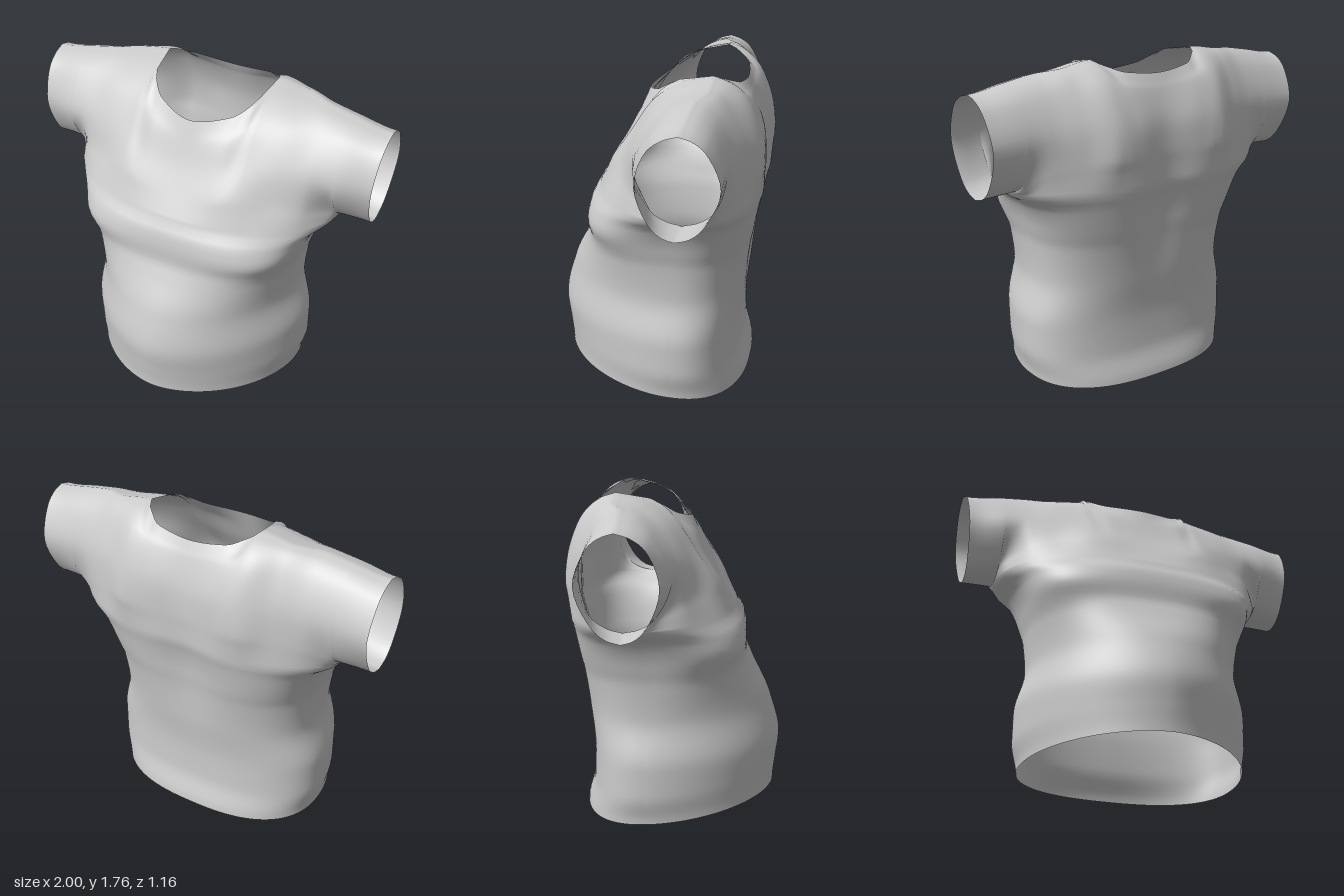
import * as THREE from 'three';
import { mergeGeometries, mergeVertices } from 'three/addons/utils/BufferGeometryUtils.js';

const HEM = 0.04, CHEST = 1.13, ARMPIT = 0.79, CUFF = 1;
const { lerp, smoothstep } = THREE.MathUtils;

// Torso rings: y, half width, front z, back z, side z, front roundness, back roundness
const RINGS = [
  [0.04, 0.615, 0.55, -0.505, -0.1, 1.8, 2.5],
  [0.2, 0.645, 0.565, -0.462, -0.12, 1.75, 2.5],
  [0.35, 0.645, 0.58, -0.457, -0.12, 1.75, 2.5],
  [0.6, 0.59, 0.52, -0.487, -0.12, 1.9, 2.5],
  [0.8, 0.605, 0.42, -0.515, -0.12, 2.4, 2.6],
  [0.88, 0.625, 0.388, -0.53, -0.13, 2.9, 2.7],
  [0.95, 0.645, 0.388, -0.54, -0.14, 3.3, 2.8],
  [1.05, 0.695, 0.372, -0.56, -0.18, 2.8, 2.6],
  [1.13, 0.79, 0.33, -0.58, -0.22, 2.2, 2.2],
];

// Upper slices: x, then y, z of four points climbing to the neck edge or shoulder ridge
const FRONT = [
  [0, 1.26, 0.25, 1.38, 0.18, 1.5, 0.125, 1.605, 0.08],
  [0.2, 1.27, 0.25, 1.4, 0.17, 1.53, 0.1, 1.64, 0.01],
  [0.28, 1.29, 0.235, 1.43, 0.14, 1.57, 0.055, 1.695, -0.065],
  [0.32, 1.3, 0.222, 1.455, 0.123, 1.62, 0.01, 1.745, -0.17],
  [0.33, 1.3, 0.22, 1.46, 0.12, 1.63, 0, 1.76, -0.3],
  [0.5, 1.28, 0.15, 1.45, 0.085, 1.62, -0.03, 1.735, -0.3],
  [0.65, 1.26, 0.08, 1.44, 0.05, 1.61, -0.06, 1.715, -0.25],
  [0.79, 1.2, -0.06, 1.4, 0.025, 1.6, -0.07, 1.69, -0.24],
  [1, 1.19, -0.09, 1.39, -0.02, 1.57, -0.08, 1.655, -0.23],
];
const BACK = [
  [0, 1.3, -0.55, 1.45, -0.535, 1.6, -0.485, 1.68, -0.445],
  [0.2, 1.3, -0.57, 1.46, -0.555, 1.62, -0.49, 1.7, -0.425],
  [0.28, 1.3, -0.576, 1.47, -0.555, 1.64, -0.48, 1.73, -0.37],
  [0.32, 1.3, -0.575, 1.48, -0.551, 1.65, -0.475, 1.75, -0.33],
  [0.33, 1.3, -0.575, 1.48, -0.55, 1.65, -0.475, 1.76, -0.3],
  [0.5, 1.3, -0.51, 1.47, -0.49, 1.64, -0.415, 1.735, -0.3],
  [0.65, 1.27, -0.455, 1.45, -0.45, 1.62, -0.38, 1.715, -0.25],
  [0.79, 1.22, -0.385, 1.42, -0.435, 1.6, -0.37, 1.69, -0.24],
  [1, 1.2, -0.35, 1.4, -0.43, 1.58, -0.36, 1.655, -0.23],
];

// Smooth interpolation of a table row without overshoot
function sample(table, t) {
  const last = table.length - 1;
  let i = 0;
  while (i < last - 1 && t > table[i + 1][0]) i++;
  const step = (k) => table[k + 1][0] - table[k][0];
  const u = THREE.MathUtils.clamp((t - table[i][0]) / step(i), 0, 1);
  return table[0].slice(1).map((_, n) => {
    const c = n + 1;
    const rise = (k) => (table[k + 1][c] - table[k][c]) / step(k);
    const slope = (k) => {
      if (k === 0 || k === last) return 0;
      const a = rise(k - 1), b = rise(k);
      return a * b <= 0 ? 0 : (2 * a * b) / (a + b);
    };
    const p = table[i][c], q = table[i + 1][c], h = step(i);
    return p + (q - p) * u * u * (3 - 2 * u)
      + h * u * (1 - u) * ((1 - u) * slope(i) - u * slope(i + 1));
  });
}

// Point on the torso; s = -1..1 runs from the right to the left side
function torsoPoint(s, y, front) {
  const [w, zf, zb, zs, nf, nb] = sample(RINGS, y);
  const n = front ? nf : nb;
  const depth = Math.pow(Math.max(0, 1 - Math.pow(Math.abs(s), n)), 1 / n);
  let z = lerp(zs, front ? zf : zb, depth);
  // shallow groove along the spine
  if (!front) z += 0.035 * Math.exp(-((s * w / 0.16) ** 2)) * smoothstep(y, 0.4, 1);
  // the hem hangs lower at the back
  const tilt = 0.07 * z * (1 - smoothstep(y, HEM, 0.5));
  return new THREE.Vector3(s * w, y + tilt, z);
}

// One slice of the upper shirt, from chest or underarm up to neck edge or shoulder
function upperSlice(x, front, rows) {
  const ax = Math.abs(x);
  const out = Math.max(0, (ax - ARMPIT) / (CUFF - ARMPIT));
  const base = out > 0
    ? new THREE.Vector3(x, lerp(CHEST, 1.115, out), lerp(-0.22, -0.21, out))
    : torsoPoint(x / ARMPIT, CHEST, front);
  const v = sample(front ? FRONT : BACK, ax);
  const [a, b, c, top] = [0, 2, 4, 6].map((k) => new THREE.Vector3(x, v[k], v[k + 1]));
  // extra points round off the underarm and the shoulder
  const low = base.clone().lerp(a, 0.5);
  low.y -= 0.25 * (a.y - base.y) * smoothstep(ax, 0.7, ARMPIT);
  const high = c.clone().lerp(top, 0.5);
  high.y += 0.22 * (top.y - c.y) * smoothstep(ax, 0.26, 0.33);
  const points = new THREE.CatmullRomCurve3([base, low, a, b, c, high, top]).getPoints(rows);
  // cuffs slant inward at the bottom
  points.forEach((p) => { p.x -= Math.sign(x) * 0.035 * out * (1.655 - p.y) / 0.54; });
  return points;
}

// Sheet from columns of points ordered by rising x
function sheet(columns, front) {
  const rows = columns[0].length, index = [];
  for (let i = 0; i < columns.length - 1; i++) {
    for (let j = 0; j < rows - 1; j++) {
      const a = i * rows + j, b = a + rows;
      if (front) index.push(a, b, b + 1, a, b + 1, a + 1);
      else index.push(a, b + 1, b, a, a + 1, b + 1);
    }
  }
  const geometry = new THREE.BufferGeometry().setFromPoints(columns.flat());
  geometry.setIndex(index);
  return geometry;
}

export function createModel() {
  // 102 columns place one exactly at each neck corner
  const across = 102, torsoRows = 40, upperRows = 28, sleeveSteps = 9;
  const sides = Array.from({ length: across + 1 }, (_, i) => Math.sin((i / across - 0.5) * Math.PI));
  const sleeve = Array.from({ length: sleeveSteps + 1 }, (_, i) => lerp(ARMPIT, CUFF, i / sleeveSteps));

  const torso = (front) => sheet(sides.map((s) => Array.from({ length: torsoRows + 1 },
    (_, j) => torsoPoint(s, lerp(HEM, CHEST, j / torsoRows), front))), front);
  const upper = (xs) => (front) => sheet(xs.map((x) => upperSlice(x, front, upperRows)), front);

  const parts = {
    torso,
    yoke: upper(sides.map((s) => s * ARMPIT)),
    leftSleeve: upper(sleeve),
    rightSleeve: upper(sleeve.map((x) => -x).reverse()),
  };

  // Weld everything first so shading runs smoothly across the seams
  const pieces = Object.values(parts).map((make) => mergeGeometries([make(true), make(false)]));
  const whole = mergeVertices(mergeGeometries(pieces), 1e-4);
  whole.computeVertexNormals();

  const material = new THREE.MeshStandardMaterial({ color: 0xcccccc, side: THREE.DoubleSide });
  const shirt = new THREE.Group();
  shirt.name = 'shirt';
  let start = 0;
  Object.keys(parts).forEach((name, k) => {
    const count = pieces[k].index.count;
    const part = whole.clone();
    part.setIndex(Array.from(whole.index.array.slice(start, start + count)));
    start += count;
    const mesh = new THREE.Mesh(part.toNonIndexed(), material);
    mesh.name = name;
    shirt.add(mesh);
  });
  return shirt;
}
